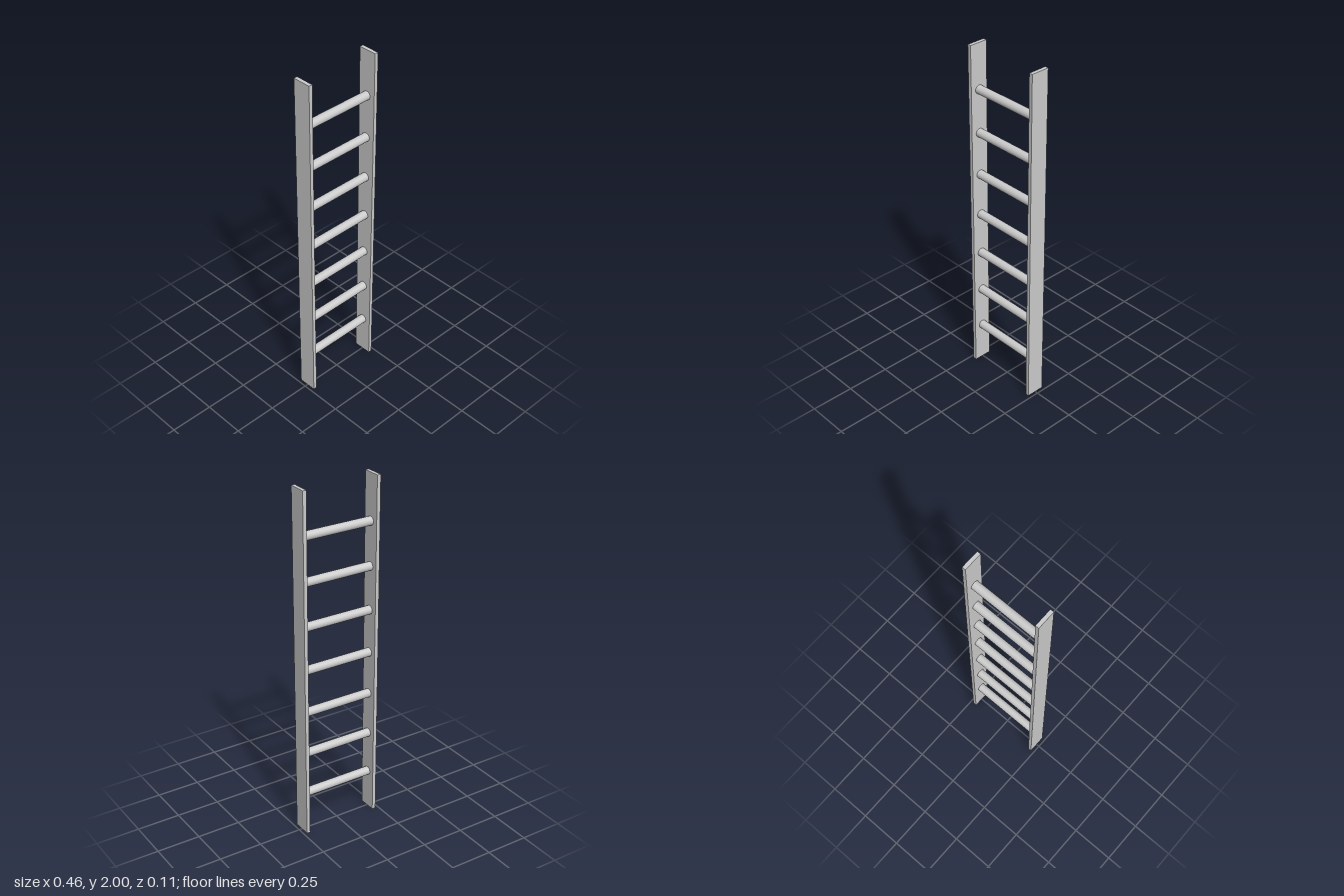
import * as THREE from 'three';

const RAIL = { x: 0.221, width: 0.021, height: 2, depth: 0.106 };
const RUNG = { count: 7, firstY: 0.234, spacing: 0.2512, radius: 0.0245 };

export function createModel() {
  const ladder = new THREE.Group();
  ladder.name = 'ladder';
  const material = new THREE.MeshStandardMaterial({ color: 0xcccccc });

  // Two flat upright side rails
  const railGeometry = new THREE.BoxGeometry(RAIL.width, RAIL.height, RAIL.depth);
  for (const [name, side] of [['leftRail', 1], ['rightRail', -1]]) {
    const rail = new THREE.Mesh(railGeometry, material);
    rail.name = name;
    rail.position.set(side * RAIL.x, RAIL.height / 2, 0);
    ladder.add(rail);
  }

  // Round rungs spanning between the inner faces of the rails
  const rungLength = 2 * RAIL.x - RAIL.width;
  const rungGeometry = new THREE.CylinderGeometry(RUNG.radius, RUNG.radius, rungLength, 32);
  rungGeometry.rotateZ(Math.PI / 2);
  for (let i = 0; i < RUNG.count; i++) {
    const rung = new THREE.Mesh(rungGeometry, material);
    rung.name = `rung${i + 1}`;
    rung.position.y = RUNG.firstY + i * RUNG.spacing;
    ladder.add(rung);
  }

  return ladder;
}
